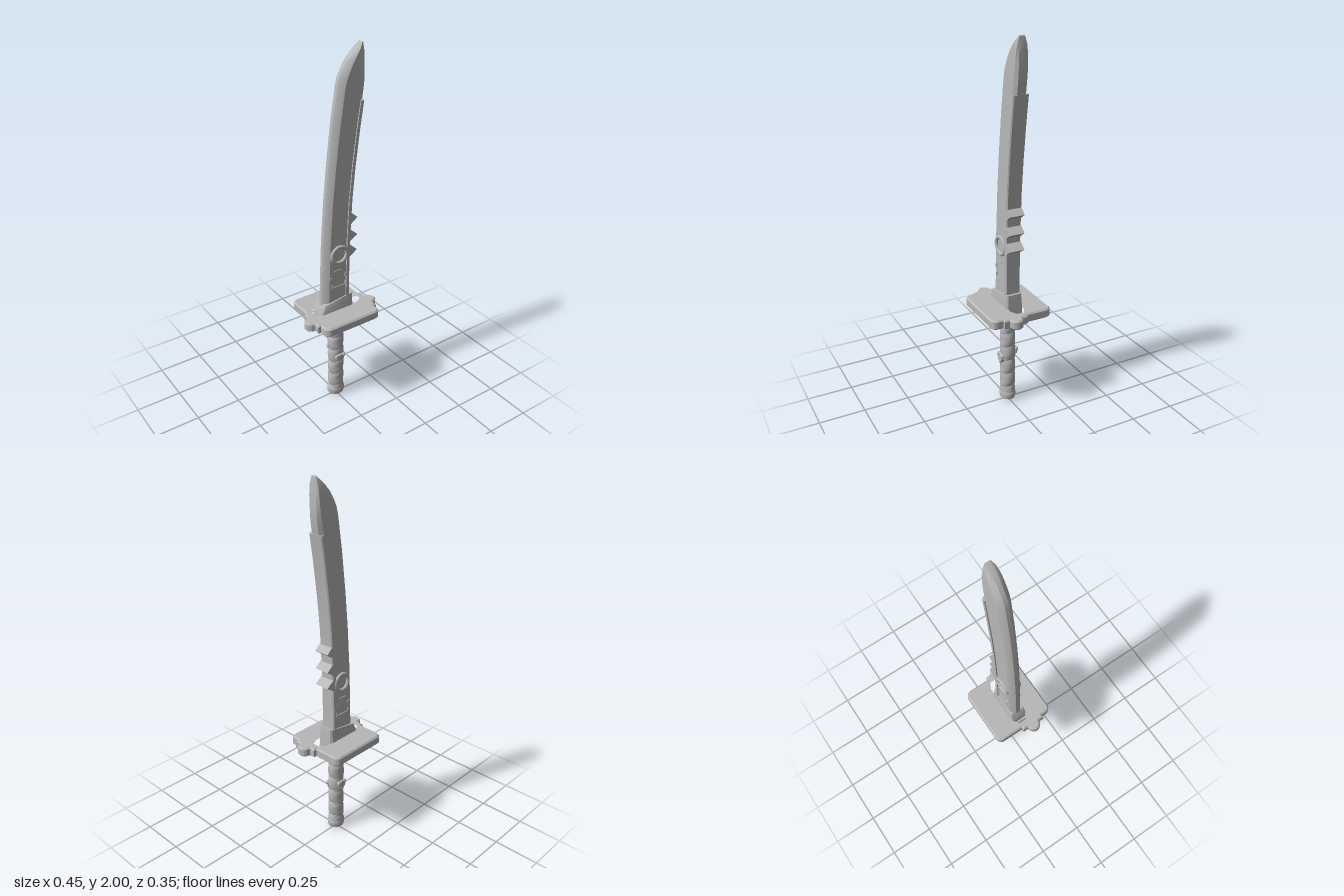
import * as THREE from 'three';
import { toCreasedNormals, mergeVertices } from 'three/addons/utils/BufferGeometryUtils.js';

const steel = new THREE.MeshStandardMaterial({ color: 0xb8b8b8 });
steel.name = 'grey steel';

function add(parent, name, geometry, x = 0, y = 0, z = 0) {
  const mesh = new THREE.Mesh(geometry, steel);
  mesh.name = name;
  mesh.position.set(x, y, z);
  parent.add(mesh);
  return mesh;
}

// Skin a list of closed rings of [x, y, z], running +x along the front, then back
function loft(rings, crease = 0.5) {
  const n = rings[0].length, index = [], last = (rings.length - 1) * n;
  for (let r = 0; r < rings.length - 1; r++) {
    for (let i = 0; i < n; i++) {
      const a = r * n + i, b = r * n + (i + 1) % n;
      index.push(a, b, b + n, a, b + n, a + n);
    }
  }
  for (let i = 1; i < n - 1; i++) {
    index.push(0, i + 1, i, last, last + i, last + i + 1);
  }
  const g = new THREE.BufferGeometry();
  g.setAttribute('position', new THREE.Float32BufferAttribute(rings.flat(2), 3));
  g.setIndex(index);
  return toCreasedNormals(g.toNonIndexed(), crease);
}

// Front half of a section, mirrored in z to make a closed ring
const ring = half => [...half, ...half.map(([x, y, z]) => [x, y, -z]).reverse()];

function flatPlate(points, y0, y1, holePoints, bevel = 0) {
  const toV = p => p.map(([x, y]) => new THREE.Vector2(x, y));
  const shape = new THREE.Shape(toV(points));
  if (holePoints) shape.holes.push(new THREE.Path(toV(holePoints)));
  const g = new THREE.ExtrudeGeometry(shape, {
    depth: y1 - y0 - 2 * bevel, bevelEnabled: bevel > 0, bevelSize: bevel,
    bevelThickness: bevel, bevelOffset: -bevel, bevelSegments: 1,
  });
  g.rotateX(-Math.PI / 2).translate(0, y0 + bevel, 0);
  return g;
}

const mirrorX = half => [...half, ...half.map(([x, y]) => [-x, y]).reverse()];

export function createModel() {
  const sword = new THREE.Group();
  sword.name = 'sword';

  // Curved blade: [edge x, edge y, spine x, spine y, thickness]
  const stations = [
    [-0.10, 0.58, 0.056, 0.58, 1], [-0.093, 0.8, 0.058, 0.8, 1],
    [-0.085, 1.0, 0.062, 1.0, 1], [-0.07, 1.22, 0.073, 1.22, 1],
    [-0.053, 1.4, 0.09, 1.4, 1], [-0.026, 1.63, 0.117, 1.6, 1],
    [0.002, 1.81, 0.137, 1.73, 1], [0.012, 1.85, 0.143, 1.77, 1],
    [0.03, 1.885, 0.148, 1.81, 0.98], [0.055, 1.923, 0.15, 1.85, 0.95],
    [0.085, 1.955, 0.149, 1.90, 0.9], [0.115, 1.98, 0.147, 1.95, 0.75],
    [0.14, 2.0, 0.144, 1.995, 0.4],
  ];
  const profile = [[0, 0.01], [0.07, 0.024], [0.2, 0.036], [0.87, 0.036], [1, 0.022]];
  add(sword, 'blade', loft(stations.map(([ex, ey, sx, sy, t]) =>
    ring(profile.map(([f, z]) => [ex + (sx - ex) * f, ey + (sy - ey) * f, z * t])))));

  // Thick strip along the spine
  const spine = [[0.058, 0.6], [0.06, 0.8], [0.064, 1.0], [0.075, 1.22],
    [0.092, 1.4], [0.118, 1.6], [0.138, 1.73]];
  add(sword, 'spineStrip', loft(spine.map(([x, y]) =>
    ring([[x - 0.02, y, 0.042], [x - 0.003, y, 0.042], [x + 0.002, y, 0.036]]))));

  // Three spikes on the spine
  [[1.12, 0.07], [1.022, 0.066], [0.932, 0.063]].forEach(([y, x]) => {
    const s = new THREE.Shape();
    s.moveTo(x - 0.012, y - 0.035);
    s.lineTo(0.106, y);
    s.lineTo(x - 0.008, y + 0.04);
    const g = new THREE.ExtrudeGeometry(s, { depth: 0.084, bevelEnabled: false });
    add(sword, 'spineSpike', g, 0, 0, -0.042);
  });

  // Ring and small engraved plates on both faces
  for (const side of [1, -1]) {
    const ringShape = new THREE.Shape().absarc(0, 0, 0.056, 0, Math.PI * 2);
    ringShape.holes.push(new THREE.Path().absarc(0, 0, 0.036, 0, Math.PI * 2, true));
    const g = new THREE.ExtrudeGeometry(ringShape, {
      depth: 0.008, curveSegments: 10, bevelSize: 0.005, bevelOffset: -0.005,
      bevelThickness: 0.005, bevelSegments: 1,
    });
    add(sword, 'bladeRing', g, -0.003, 0.93, side > 0 ? 0.034 : -0.042);
    const plates = [[-0.01, 0.74, 0.085, 0.009], [-0.01, 0.838, 0.045, 0.007],
      [-0.055, 0.8, 0.02, 0.012], [0.038, 0.8, 0.02, 0.012],
      [-0.05, 0.75, 0.008, 0.025], [0.032, 0.75, 0.008, 0.025]];
    for (const [x, y, w, h] of plates) {
      add(sword, 'bladePlate', new THREE.BoxGeometry(w, h, 0.006), x, y, side * 0.037);
    }
  }

  // Flared collar at the blade root
  add(sword, 'bladeCollar', loft([
    [-0.117, 0.56, 0.085, 0.56, 0.047], [-0.113, 0.605, 0.084, 0.605, 0.047],
    [-0.092, 0.65, 0.08, 0.675, 0.043],
  ].map(([x0, y0, x1, y1, z]) =>
    ring([[x0, y0, z * 0.9], [x0 + 0.01, y0, z], [x1 - 0.01, y1, z], [x1, y1, z * 0.8]]))));

  // Guard: rounded plate with stepped side lobes and a slot
  const arc = (cx, cy, r, a0, a1, n) => Array.from({ length: n + 1 }, (_, i) => {
    const a = a0 + (a1 - a0) * i / n;
    return [cx + r * Math.cos(a), cy + r * Math.sin(a)];
  });
  const q = Math.PI / 2;
  const guardHalf = [
    ...arc(0.14, 0.142, 0.032, q, 0, 5),
    [0.172, 0.022], [0.188, 0.022], [0.188, -0.008],
    ...arc(0.189, -0.046, 0.036, q * 0.95, -q * 0.95, 8),
    [0.188, -0.084], [0.188, -0.114], [0.172, -0.114],
    ...arc(0.14, -0.142, 0.032, 0, -q, 5),
  ];
  const slot = mirrorX([[0.115, 0.047], [0.155, 0.026], [0.155, -0.026], [0.115, -0.047]]);
  add(sword, 'guard', flatPlate(mirrorX(guardHalf), 0.548, 0.6, slot, 0.008));

  // Faceted washer under the guard
  const washer = mirrorX([[0.02, 0.064], [0.08, 0.046], [0.112, 0.015],
    [0.112, -0.015], [0.08, -0.046], [0.02, -0.064]]);
  add(sword, 'guardWasher', flatPlate(washer, 0.535, 0.56));

  // Handle with slanted wrapped bands
  const wrap = mergeVertices(new THREE.CylinderGeometry(1, 1, 0.5, 20, 60, true));
  const p = wrap.attributes.position;
  for (let i = 0; i < p.count; i++) {
    const x = p.getX(i), y = p.getY(i) + 0.295, z = p.getZ(i);
    const phase = (y - 0.012 * x) / 0.083;
    const swell = Math.abs(Math.sin(Math.PI * phase)) ** 0.6;
    const knot = 0.003 * Math.cos(Math.PI * 2 * phase) * Math.abs(z);
    const r = 0.038 + 0.008 * swell;
    p.setXYZ(i, x * r, y, z * (r - 0.003 + knot));
  }
  add(sword, 'handleWrap', toCreasedNormals(wrap.toNonIndexed(), 0.5));

  // Pommel
  const pommel = [[0, 0], [0.03, 0.002], [0.046, 0.012], [0.05, 0.025], [0.05, 0.045],
    [0.044, 0.058], [0, 0.06]].map(([r, y]) => new THREE.Vector2(r, y + 0.002));
  const cap = toCreasedNormals(new THREE.LatheGeometry(pommel, 20).toNonIndexed(), 0.5);
  add(sword, 'pommel', cap).scale.z = 0.86;

  // Small ornaments set into the handle, front and back
  for (const [side, y] of [[1, 0.27], [-1, 0.3]]) {
    const ornament = new THREE.Group();
    ornament.name = 'handleOrnament';
    ornament.position.set(0, y, side * 0.042);
    const disc = new THREE.CylinderGeometry(0.024, 0.03, 0.014, 8).rotateX(side * q);
    add(ornament, 'ornamentDisc', toCreasedNormals(disc.toNonIndexed(), 0.5));
    for (const [x, dy] of [[-0.022, 0.014], [0.022, 0.014], [0, -0.024]]) {
      add(ornament, 'ornamentBead', new THREE.SphereGeometry(0.011, 8, 6), x, dy, 0);
    }
    sword.add(ornament);
  }
  return sword;
}
